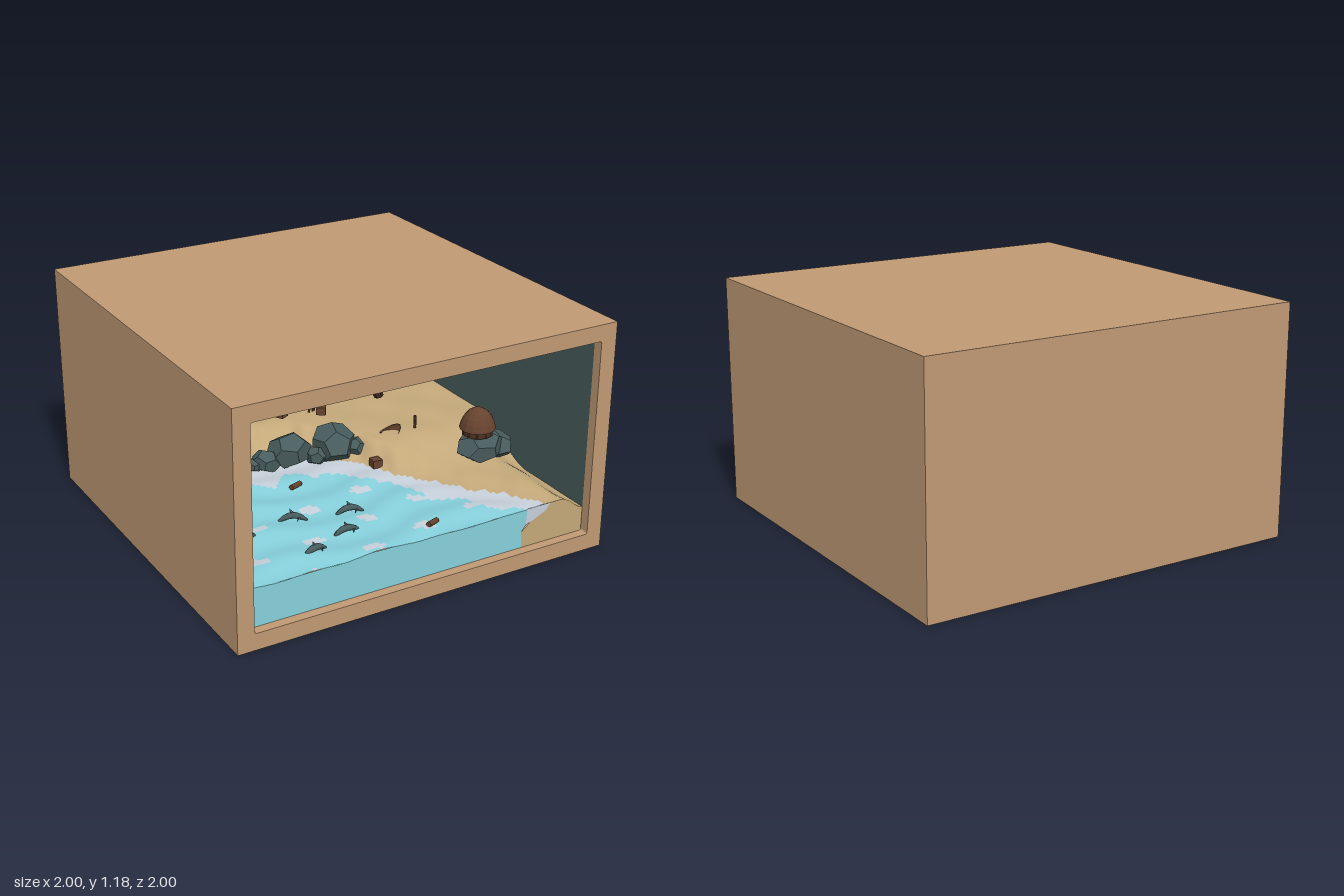
import * as THREE from 'three';

const mat = (name, color, side = THREE.FrontSide) => {
  const m = new THREE.MeshStandardMaterial({ color, side });
  m.name = name;
  return m;
};
const D = THREE.DoubleSide;
const M = {
  box: mat('box tan', 0xc09a74),
  sky: mat('sky teal', 0xa2c9c0),
  slate: mat('slate', 0x485c5d),
  water: mat('water blue', 0x86d0dc, D),
  foam: mat('foam white', 0xc6d0da, D),
  sand: mat('sand', 0xc4a97a, D),
  wood: mat('dark wood', 0x4a2f22, D),
  thatch: mat('thatch brown', 0x66432f, D),
  leaf: mat('leaf green', 0x6c9c6a, D),
  clay: mat('clay', 0xc79a78),
};

// Flat facets without relying on a material setting
const facet = (g) => {
  const f = g.index ? g.toNonIndexed() : g;
  f.computeVertexNormals();
  return f;
};
const add = (parent, name, geo, material, p = [0, 0, 0], r = [0, 0, 0], s = [1, 1, 1]) => {
  const m = new THREE.Mesh(geo, material);
  m.name = name;
  m.position.set(...p);
  m.rotation.set(...r);
  m.scale.set(...s);
  parent.add(m);
  return m;
};
const surface = (pos, idx) => {
  const g = new THREE.BufferGeometry();
  g.setAttribute('position', new THREE.Float32BufferAttribute(pos, 3));
  g.setIndex(idx);
  g.computeVertexNormals();
  return g;
};
const smooth = (a, b, v) => THREE.MathUtils.smoothstep(v, a, b);

// Shoreline z for each x, sand lies behind it
const SHORE = [[-1, 0.09], [-0.71, 0], [-0.45, -0.12], [-0.11, -0.12], [0.09, 0.065], [0.31, 0.45], [0.695, 0.93], [1, 1.3]];
const shoreZ = (x) => {
  let i = 0;
  while (i < SHORE.length - 2 && x > SHORE[i + 1][0]) i++;
  const [a, b] = [SHORE[i], SHORE[i + 1]];
  return a[1] + (b[1] - a[1]) * (x - a[0]) / (b[0] - a[0]);
};
const inland = (x, z) => shoreZ(x) - z + 0.02 * Math.sin(x * 31) + 0.012 * Math.sin(x * 57 + z * 20);
const wave = (x, z) => 0.285 + 0.007 * Math.sin(z * 24 + Math.sin(x * 7) * 1.5) + 0.004 * Math.sin(x * 19);
const ground = (x, z) => {
  const s = inland(x, z);
  const amp = 0.145 - 0.08 * smooth(0.1, 0.5, z);
  const edge = 0.1 * smooth(0.72, 0.93, x) * smooth(0, 0.5, z) + 0.04 * smooth(-0.7, -0.93, x);
  return 0.287 + amp * smooth(0, 0.25, s) - edge * smooth(0, 0.25, s) + 0.005 * Math.sin(x * 17) * Math.sin(z * 13);
};
const W = 0.915, Z = 0.95;

// Part of the landscape grid whose cells satisfy keep(inland distance, x, z)
function field(parent, name, material, keep) {
  const N = 84, pos = [], idx = [];
  for (let j = 0; j <= N; j++) for (let i = 0; i <= N; i++) {
    const x = -W + 2 * W * i / N, z = -Z + 2 * Z * j / N, s = inland(x, z);
    pos.push(x, THREE.MathUtils.lerp(wave(x, z), ground(x, z), smooth(-0.15, 0.02, s)), z);
    if (i === N || j === N || !keep(inland(x + W / N, z + Z / N), x, z)) continue;
    const a = j * (N + 1) + i, b = a + 1, c = a + N + 1, d = c + 1;
    idx.push(a, c, b, b, c, d);
  }
  add(parent, name, surface(pos, idx), material);
}
const streak = (x, z) => z > 0.25 && Math.sin(x * 11 + z * 5) * Math.sin(z * 21 - x * 6) > 0.8;

function buildCase(root) {
  const g = new THREE.Group();
  g.name = 'displayBox';
  root.add(g);
  const box = (n, w, h, d, x, y, z, m = M.box) => add(g, n, new THREE.BoxGeometry(w, h, d), m, [x, y, z]);
  box('roofPanel', 2, 0.08, 1.95, 0, 1.14, -0.025);
  box('floorPanel', 2, 0.08, 1.95, 0, 0.04, -0.025);
  box('backPanel', 1.84, 1.02, 0.04, 0, 0.59, -0.98);
  for (const s of [-1, 1]) {
    box('sidePanel', 0.08, 1.02, 1.95, s * 0.96, 0.59, -0.025);
    box('sideLining', 0.004, 1.02, 1.91, s * 0.918, 0.59, -0.005, M.slate);
  }
  box('ceilingLining', 1.83, 0.004, 1.91, 0, 1.098, -0.005, M.slate);
  box('skyBackdrop', 1.83, 1.02, 0.006, 0, 0.59, -0.955, M.sky);
  // Front frame with a softly rounded window
  const frame = new THREE.Shape([[-1, 0], [1, 0], [1, 1.18], [-1, 1.18]].map((p) => new THREE.Vector2(...p)));
  const hole = new THREE.Path(), r = 0.012, B = 0.085, T = 1.097;
  hole.moveTo(-W + r, B).lineTo(W - r, B).quadraticCurveTo(W, B, W, B + r).lineTo(W, T - r)
    .quadraticCurveTo(W, T, W - r, T).lineTo(-W + r, T).quadraticCurveTo(-W, T, -W, T - r)
    .lineTo(-W, B + r).quadraticCurveTo(-W, B, -W + r, B);
  frame.holes.push(hole);
  add(g, 'frontFrame', new THREE.ExtrudeGeometry(frame, { depth: 0.05, bevelEnabled: false }), M.box, [0, 0, Z]);
}

function buildLand(root) {
  field(root, 'beach', M.sand, (s) => s > 0);
  field(root, 'surf', M.foam, (s, x, z) => s <= 0 && (s > -0.22 + 0.03 * Math.sin(x * 23 + z * 9) || streak(x, z)));
  field(root, 'sea', M.water, (s, x, z) => s <= -0.22 + 0.03 * Math.sin(x * 23 + z * 9) && !streak(x, z));
  // Cut faces behind the window
  const face = (name, pts, m) => add(root, name,
    new THREE.ShapeGeometry(new THREE.Shape(pts.map((p) => new THREE.Vector2(...p)))), m, [0, 0, Z - 0.001]);
  const top = (a, b, f) => Array.from({ length: 13 }, (_, i) => a + (b - a) * i / 12).map((x) => [x, f(x, Z)]);
  face('seaCut', [[0.555, 0.08], [0.55, 0.17], [0.575, 0.2], ...top(0.58, -W, wave), [-W, 0.08]], M.water);
  face('foamCut', [[0.575, 0.2], [0.6, 0.21], [0.69, 0.25], [0.72, 0.287], [0.58, 0.287]], M.foam);
  face('sandCut', [[0.555, 0.08], [W, 0.08], ...top(W, 0.72, ground), [0.69, 0.25], [0.6, 0.21], [0.55, 0.17]], M.sand);
}

// One frond: a folded strip that arches out and droops
function frondGeometry(len) {
  const pos = [], idx = [], n = 5;
  for (let i = 0; i <= n; i++) {
    const t = i / n, x = len * t * (1 - 0.12 * t), y = len * (0.55 * t - 1.1 * t * t);
    const w = len * 0.23 * Math.sin(Math.PI * Math.min(0.97, 0.12 + 0.88 * t)) ** 0.7;
    pos.push(x, y - w * 0.4, -w, x, y, 0, x, y - w * 0.4, w);
    if (i < n) for (const k of [0, 1]) {
      const a = i * 3 + k;
      idx.push(a, a + 1, a + 3, a + 1, a + 4, a + 3);
    }
  }
  return facet(surface(pos, idx));
}
function palm(root, pts, z, r, len) {
  const g = new THREE.Group();
  g.name = 'palmTree';
  root.add(g);
  const curve = new THREE.CatmullRomCurve3(pts.map(([x, y]) => new THREE.Vector3(x, y, z)));
  // Ringed, tapering trunk segments
  const n = 11, up = new THREE.Vector3(0, 1, 0);
  for (let i = 0; i < n; i++) {
    const a = curve.getPoint(i / n), b = curve.getPoint((i + 1) / n), k = r * (1 - 0.4 * i / n);
    const m = add(g, 'trunkSegment', facet(new THREE.CylinderGeometry(k * 1.08, k * 0.85, a.distanceTo(b) * 1.15, 7)), M.wood);
    m.position.lerpVectors(a, b, 0.5);
    m.quaternion.setFromUnitVectors(up, b.clone().sub(a).normalize());
  }
  const tip = curve.getPoint(1).toArray(), geo = frondGeometry(len);
  for (let i = 0; i < 8; i++) add(g, 'frond', geo, M.leaf, tip, [0, i * Math.PI / 4 + 0.2, (i % 2) * 0.22]);
}

function hut(root, x, y, z, r, wallH, roofH) {
  const g = new THREE.Group();
  g.name = 'hut';
  g.position.set(x, y, z);
  root.add(g);
  add(g, 'hutWall', facet(new THREE.CylinderGeometry(r * 0.8, r * 0.84, wallH, 12)), M.wood, [0, wallH / 2, 0]);
  const prof = [[1.03, -0.06], [1, 0.06], [0.93, 0.3], [0.78, 0.58], [0.55, 0.82], [0.28, 0.96], [0, 1]];
  add(g, 'thatchRoof', facet(new THREE.LatheGeometry(prof.map(([a, b]) => new THREE.Vector2(a * r, b * roofH)), 14)), M.thatch, [0, wallH, 0]);
  for (let i = 0; i < 10; i++) {
    const a = i * Math.PI / 5;
    add(g, 'wallPost', new THREE.CylinderGeometry(r * 0.05, r * 0.05, wallH, 5), M.thatch, [Math.sin(a) * r * 0.84, wallH / 2, Math.cos(a) * r * 0.84]);
  }
}

function dolphin(root, x, y, z, turn) {
  const g = new THREE.Group();
  g.name = 'dolphin';
  g.position.set(x, y, z);
  g.rotation.y = turn;
  root.add(g);
  const body = new THREE.SphereGeometry(1, 12, 8).scale(0.075, 0.016, 0.016), p = body.attributes.position;
  for (let i = 0; i < p.count; i++) p.setY(i, p.getY(i) - 6 * p.getX(i) ** 2);
  body.computeVertexNormals();
  add(g, 'dolphinBody', body, M.slate);
  const fin = facet(new THREE.ConeGeometry(0.012, 0.035, 4));
  add(g, 'dorsalFin', fin, M.slate, [-0.008, 0.022, 0], [0, 0, 0.5], [1, 1, 0.3]);
  for (const s of [-1, 1]) {
    add(g, 'tailFluke', fin, M.slate, [-0.074, -0.034, s * 0.012], [s * 1.3, 0, 0.5], [1, 1, 0.4]);
    add(g, 'flipper', fin, M.slate, [0.025, -0.012, s * 0.02], [s * 2, 0, 0.5], [0.8, 1, 0.4]);
  }
}

export function createModel() {
  const root = new THREE.Group();
  root.name = 'islandDiorama';
  buildCase(root);
  buildLand(root);

  palm(root, [[-0.56, 0.42], [-0.575, 0.56], [-0.61, 0.69]], -0.5, 0.02, 0.09);
  palm(root, [[-0.25, 0.42], [-0.275, 0.55], [-0.2, 0.73]], -0.5, 0.02, 0.095);
  palm(root, [[-0.03, 0.42], [-0.012, 0.62], [-0.04, 0.9]], -0.45, 0.025, 0.125);
  palm(root, [[0.5, 0.43], [0.42, 0.64], [0.22, 0.76]], -0.28, 0.03, 0.125);
  palm(root, [[0.36, 0.42], [0.32, 0.65], [0.24, 0.83]], -0.74, 0.022, 0.125);
  palm(root, [[0.7, 0.42], [0.71, 0.56], [0.75, 0.7]], -0.4, 0.02, 0.095);

  hut(root, -0.68, 0.43, -0.5, 0.085, 0.08, 0.095);
  hut(root, 0.34, 0.42, -0.5, 0.16, 0.12, 0.18);
  hut(root, 0.65, 0.455, 0.42, 0.09, 0.04, 0.1);

  // Boulders: x, y, z, width, height
  [[-0.16, 0.35, -0.07, 0.12, 0.09], [0.07, 0.36, -0.02, 0.13, 0.1], [-0.29, 0.32, -0.07, 0.08, 0.06],
    [0.17, 0.34, 0.04, 0.06, 0.05], [-0.04, 0.32, 0, 0.06, 0.05], [0.66, 0.39, 0.43, 0.13, 0.075],
    [0.78, 0.36, 0.4, 0.1, 0.07], [-0.36, 0.31, -0.08, 0.05, 0.035]].forEach(([x, y, z, w, h], i) =>
    add(root, 'boulder', facet(new THREE.DodecahedronGeometry(1)), M.slate, [x, y, z], [0, i * 1.3, 0.15], [w, h, w * 0.9]));

  [[-0.73, 0.31, 0.554, 0.3], [-0.5, 0.305, 0.8, 0.2], [-0.44, 0.305, 0.48, -0.4],
    [-0.28, 0.305, 0.71, 0], [-0.17, 0.31, 0.55, -0.2], [-0.7, 0.345, 0.4, -0.3]].forEach((d) => dolphin(root, ...d));

  // Beached canoe with a bench
  const canoe = new THREE.Group();
  canoe.name = 'canoe';
  canoe.position.set(0.31, 0.37, 0.08);
  canoe.rotation.set(0.5, 0.2, 0.55);
  root.add(canoe);
  add(canoe, 'canoeHull', new THREE.SphereGeometry(1, 16, 6, 0, Math.PI * 2, Math.PI / 2, Math.PI / 2), M.thatch, [0, 0, 0], [0, 0, 0], [0.11, 0.045, 0.04]);
  add(canoe, 'canoeBench', new THREE.BoxGeometry(0.02, 0.006, 0.07), M.wood);

  // Crates, barrels and driftwood
  [[-0.77, 0.42, -0.12], [-0.08, 0.45, -0.3], [0.13, 0.44, -0.25], [0.19, 0.31, 0.2]].forEach(([x, y, z], i) =>
    add(root, 'crate', new THREE.BoxGeometry(0.05, 0.042, 0.05), M.thatch, [x, y, z], [0, i * 0.5, 0]));
  [[-0.87, 0.35, 0.01], [-0.43, 0.345, -0.19]].forEach(([x, y, z]) =>
    add(root, 'barrel', facet(new THREE.CylinderGeometry(0.022, 0.022, 0.05, 9)), M.wood, [x, y, z], [0.4, 0, 1]));
  [[0.1, 0.3, 0.856], [-0.27, 0.297, 0.2]].forEach(([x, y, z]) =>
    add(root, 'driftwood', new THREE.CylinderGeometry(0.014, 0.014, 0.07, 7), M.thatch, [x, y, z], [0, 0.4, 1.5]));
  add(root, 'clayPot', new THREE.SphereGeometry(0.026, 12, 8), M.clay, [-0.57, 0.45, -0.3]);

  // Crossed spears, a lone post and small sprouts
  for (const [x, z] of [[-0.82, -0.3], [0.1, -0.3]]) for (const s of [-1, 0.4, 1])
    add(root, 'spear', new THREE.CylinderGeometry(0.004, 0.006, 0.15, 5), M.wood, [x, 0.49, z], [0.1 * s, 0, 0.28 * s]);
  add(root, 'mooringPost', new THREE.CylinderGeometry(0.007, 0.008, 0.11, 6), M.wood, [0.485, 0.41, 0.1]);
  for (const [x, y, z] of [[-0.77, 0.442, -0.12], [-0.08, 0.472, -0.3]]) for (let i = 0; i < 5; i++)
    add(root, 'sproutLeaf', frondGeometry(0.05), M.leaf, [x, y, z], [0, i * 1.257, 0.4]);
  return root;
}
